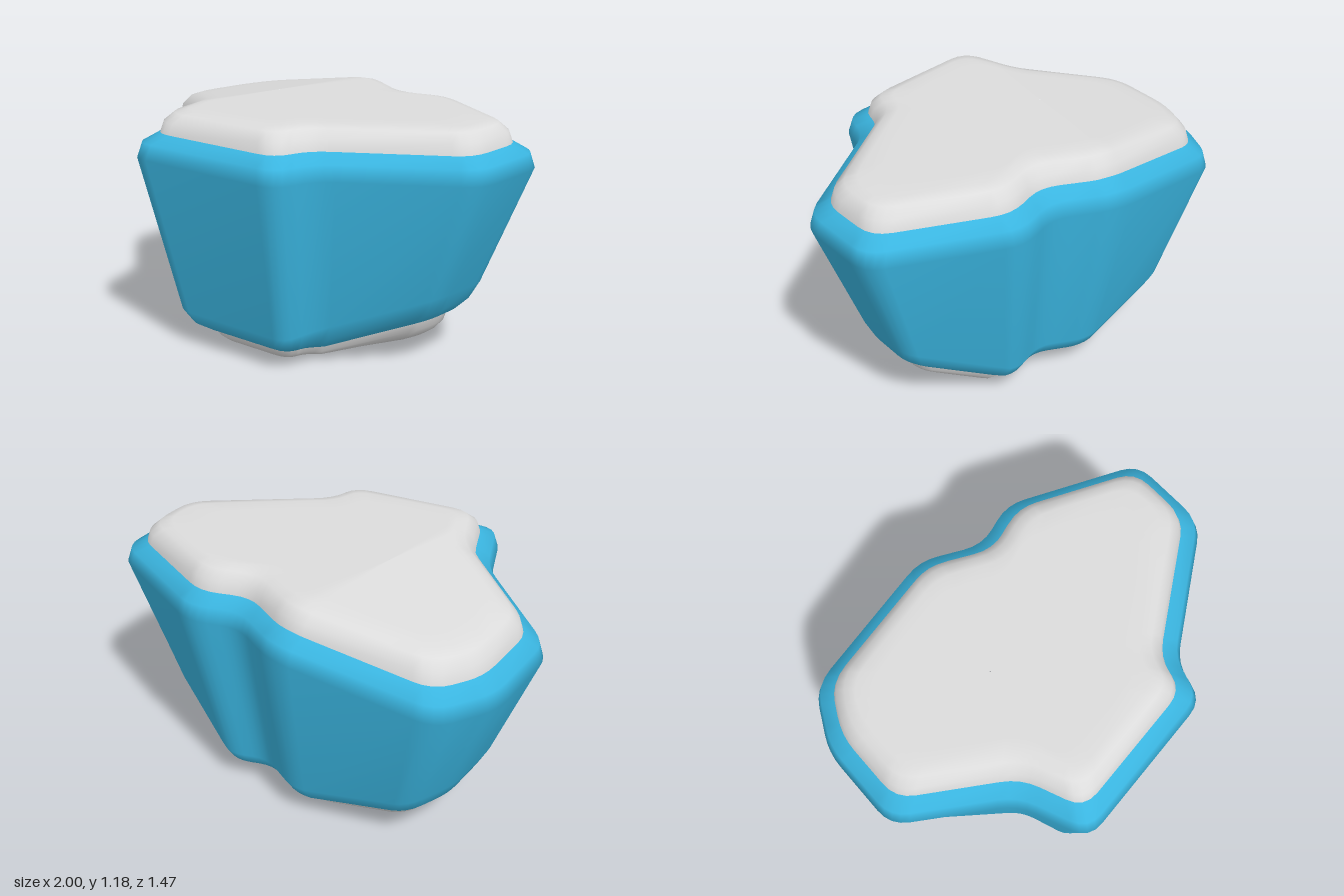
import * as THREE from 'three';

// Corners of the widest outline (x, z), clockwise from above
const CORNERS = [
  [-1, -0.34], [-0.86, -0.615], [-0.13, -0.745], [0.14, -0.62], [0.36, -0.705], [0.99, -0.45],
  [1, -0.03], [0.44, 0.41], [0.4, 0.61], [-0.4, 0.75], [-0.53, 0.43], [-1, 0.11],
].map(([x, z]) => new THREE.Vector2(x, z));

// Top slopes down on one side of a crease
const topY = (y) => (x, z) => y - 0.17 * Math.max(0, -0.28 - 0.18 * z - x);
// Underside rises towards both ends
const bottomY = (y) => (x) => y + Math.max(0, 0.43 * (x - 0.3), 0.25 * (-x - 0.3));

// Outline scaled, inset evenly, with rounded corners
function outline(scale, shiftX, shiftZ, inset, radius) {
  const pts = CORNERS.map((p) => new THREE.Vector2(p.x * scale + shiftX, p.y * scale + shiftZ));
  const n = pts.length;
  const normal = (a, b) => new THREE.Vector2(a.y - b.y, b.x - a.x).normalize();
  const moved = pts.map((p, i) => {
    const n1 = normal(pts[(i + n - 1) % n], p);
    const n2 = normal(p, pts[(i + 1) % n]);
    return p.clone().addScaledVector(n1.clone().add(n2), inset / (1 + n1.dot(n2)));
  });
  return moved.flatMap((p, i) => {
    const towards = (q) => p.clone().lerp(q, Math.min(0.45, radius / p.distanceTo(q)));
    const start = towards(moved[(i + n - 1) % n]);
    const end = towards(moved[(i + 1) % n]);
    return new THREE.QuadraticBezierCurve(start, p, end).getPoints(4);
  });
}

const lift = (points, height) => points.map((p) => new THREE.Vector3(p.x, height(p.x, p.y), p.y));

// Rings shrinking from an outline to a centre, closing an end
function closing(points, height, cx, cz, steps) {
  const centre = new THREE.Vector2(cx, cz);
  return steps.map((s) => lift(points.map((p) => centre.clone().lerp(p, s)), height));
}

// Skin through rings ordered from low to high
function loft(name, rings, material) {
  const n = rings[0].length;
  const index = [];
  for (let r = 0; r < rings.length - 1; r++) {
    for (let i = 0; i < n; i++) {
      const j = (i + 1) % n;
      const a = r * n + i, b = r * n + j;
      index.push(a, a + n, b, b, a + n, b + n);
    }
  }
  const geometry = new THREE.BufferGeometry().setFromPoints(rings.flat());
  geometry.setIndex(index);
  geometry.computeVertexNormals();
  const mesh = new THREE.Mesh(geometry, material);
  mesh.name = name;
  return mesh;
}

export function createModel() {
  const blue = new THREE.MeshStandardMaterial({ color: 0x3ab5e0 });
  blue.name = 'blue';
  const grey = new THREE.MeshStandardMaterial({ color: 0xdcdcdc });
  grey.name = 'light grey';

  const low = (inset, y) => lift(outline(0.79, -0.01, -0.02, inset, 0.07), bottomY(y));
  const high = (inset, y) => lift(outline(1, 0, 0, inset, 0.09), topY(y));

  // Tapered blue body with bevelled rims
  const body = loft('body', [
    low(0.125, 0.08), low(0.09, 0.085), low(0.04, 0.12), low(0, 0.19),
    high(0, 0.97), high(0.02, 1.04), high(0.085, 1.08),
  ], blue);

  // Raised grey slab on top
  const topEdge = outline(1, 0, 0, 0.19, 0.09);
  const topCap = loft('topCap', [
    high(0.085, 1.08), high(0.1, 1.13), high(0.14, 1.168),
    ...closing(topEdge, topY(1.18), -0.27, -0.05, [1, 0.85, 0.4, 0.005]),
  ], grey);

  // Grey underside
  const lowEdge = outline(0.79, -0.01, -0.02, 0.2, 0.07);
  const base = loft('base', [
    ...closing(lowEdge, bottomY(0), 0, -0.05, [0.005, 0.25, 0.5, 0.75, 1]),
    low(0.165, 0.012), low(0.137, 0.04), low(0.125, 0.08),
  ], grey);

  const model = new THREE.Group();
  model.name = 'stone';
  model.add(body, topCap, base);
  return model;
}
